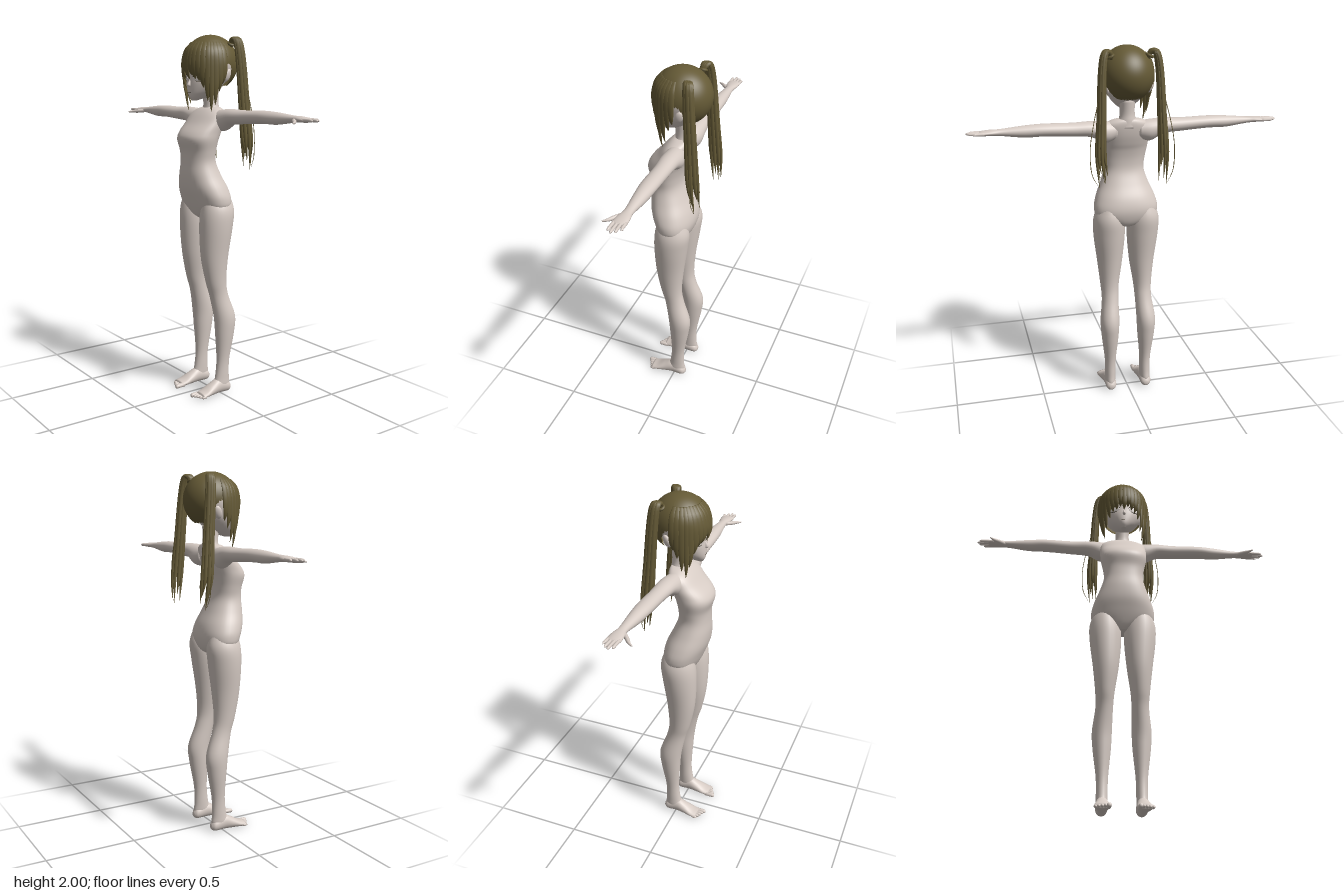
import * as THREE from 'three';

const skin = new THREE.MeshStandardMaterial({ color: 0xd6cbc4 });
skin.name = 'skin';
const hair = new THREE.MeshStandardMaterial({ color: 0x655a36, side: THREE.DoubleSide });
hair.name = 'hair';
const dark = new THREE.MeshStandardMaterial({ color: 0x3a3324 });
dark.name = 'lash';
const pale = new THREE.MeshStandardMaterial({ color: 0xe2dad5 });
pale.name = 'eye';

const X = new THREE.Vector3(1, 0, 0), Y = new THREE.Vector3(0, 1, 0), Z = new THREE.Vector3(0, 0, 1);

// Smooth loft through rows [x, y, z, radius along u, radius along v].
// Without v, rings stand square to the path.
function loft(rows, u, v, { seg = 24, sub = 5, power = 2 } = {}) {
  const path = new THREE.CatmullRomCurve3(rows.map(r => new THREE.Vector3(r[0], r[1], r[2])), false, 'catmullrom');
  const size = new THREE.CatmullRomCurve3(rows.map(r => new THREE.Vector3(r[3], r[4], 0)), false, 'catmullrom');
  const n = (rows.length - 1) * sub, pos = [], idx = [];
  const bend = w => Math.sign(w) * Math.pow(Math.abs(w), 2 / power);
  for (let i = 0; i <= n; i++) {
    const c = path.getPoint(i / n), s = size.getPoint(i / n);
    const side = v || path.getTangent(i / n).cross(u).normalize();
    for (let j = 0; j < seg; j++) {
      const a = j / seg * Math.PI * 2;
      const p = c.clone().addScaledVector(u, Math.max(s.x, 0.0005) * bend(Math.cos(a)))
        .addScaledVector(side, Math.max(s.y, 0.0005) * bend(Math.sin(a)));
      pos.push(p.x, p.y, p.z);
      if (i < n) {
        const k = i * seg + j, l = i * seg + (j + 1) % seg;
        idx.push(k, l, k + seg, l, l + seg, k + seg);
      }
    }
  }
  const first = path.getPoint(0), last = path.getPoint(1), e = pos.length / 3;
  pos.push(first.x, first.y, first.z, last.x, last.y, last.z);
  for (let j = 0; j < seg; j++) {
    const l = (j + 1) % seg;
    idx.push(e, l, j, e + 1, n * seg + j, n * seg + l);
  }
  // Turn the faces outward by the sign of the enclosed volume
  let volume = 0;
  const at = k => new THREE.Vector3().fromArray(pos, k * 3).sub(first);
  for (let k = 0; k < idx.length; k += 3) volume += at(idx[k]).dot(at(idx[k + 1]).cross(at(idx[k + 2])));
  if (volume < 0) idx.reverse();
  const g = new THREE.BufferGeometry();
  g.setAttribute('position', new THREE.Float32BufferAttribute(pos, 3));
  g.setIndex(idx);
  g.computeVertexNormals();
  return g;
}

// Rows [y, half width, front z, back z] to loft rows
const upright = rows => rows.map(([y, w, f, b]) => [0, y, (f + b) / 2, w, (f - b) / 2]);
const mirror = (rows, s) => rows.map(([x, ...rest]) => [x * s, ...rest]);

export function createModel() {
  const model = new THREE.Group();
  model.name = 'figure';
  const add = (name, geometry, material) => {
    const m = new THREE.Mesh(geometry, material);
    m.name = name;
    model.add(m);
    return m;
  };

  // Plain mannequin torso and neck
  add('torso', loft(upright([
    [1.01, .03, .07, -.03], [1.03, .09, .09, -.06], [1.07, .165, .11, -.078], [1.12, .178, .13, -.084],
    [1.18, .163, .15, -.07], [1.25, .133, .158, -.037], [1.32, .112, .155, -.01], [1.38, .117, .157, -.008],
    [1.44, .13, .172, -.02], [1.48, .133, .158, -.035], [1.53, .135, .112, -.05], [1.58, .128, .07, -.058],
    [1.61, .08, .035, -.055], [1.62, .02, 0, -.04],
  ]), X, Z, { seg: 40, power: 2.25 }), skin);
  add('neck', loft(upright([[1.57, .075, .04, -.06], [1.61, .048, .03, -.058], [1.65, .04, .03, -.055],
    [1.72, .042, .04, -.06]]), X, Z), skin);

  // Head with small features
  add('head', loft(upright([
    [1.652, .012, .112, .08], [1.672, .04, .124, .01], [1.70, .07, .128, -.04], [1.74, .097, .128, -.08],
    [1.78, .11, .125, -.11], [1.85, .121, .125, -.13], [1.93, .1, .09, -.11], [1.975, .03, .02, -.04],
  ]), X, Z, { seg: 36 }), skin);
  add('nose', loft([[0, 1.765, .122, .004, .004], [0, 1.735, .13, .009, .013], [0, 1.725, .125, .004, .004]],
    X, Z, { seg: 10 }), skin);
  add('mouth', loft([[-.015, 1.695, .125, .001, .002], [0, 1.693, .128, .0015, .002], [.015, 1.695, .125, .001, .002]],
    Y, Z, { seg: 6 }), dark);

  for (const s of [1, -1]) {
    const side = s > 0 ? 'left' : 'right';
    // Bands that follow the curve of the face: rows [x, y, half height]
    const faceBand = (name, rows, depth, mat) => add(side + name, loft(rows.map(([x, y, h]) =>
      [x * s, y, .0075 + .1175 * Math.sqrt(1 - (x / .111) ** 2), h, depth]), Y, Z, { seg: 10 }), mat);
    faceBand('Eye', [[.028, 1.77, .003], [.04, 1.772, .017], [.065, 1.773, .018], [.084, 1.773, .003]], .003, pale);
    faceBand('UpperLash', [[.026, 1.776, .001], [.042, 1.789, .003], [.066, 1.791, .003], [.088, 1.778, .001]], .0045, dark);
    faceBand('LowerLash', [[.04, 1.756, .0008], [.06, 1.753, .0014], [.08, 1.76, .0008]], .004, dark);
    faceBand('Brow', [[.026, 1.812, .001], [.05, 1.82, .002], [.082, 1.814, .001]], .004, hair);

    const ear = add(side + 'Ear', new THREE.SphereGeometry(1, 16, 12), skin);
    ear.scale.set(.014, .036, .022);
    ear.position.set(.12 * s, 1.785, -.035);
    ear.rotation.set(-.25, .35 * s, -.2 * s);

    // Leg rows [y, inner x, outer x, front z, back z]
    const leg = [
      [1.14, .05, .15, .09, -.06], [1.06, .015, .183, .11, -.082], [.96, .008, .184, .116, -.072],
      [.8, .022, .164, .108, -.05], [.66, .043, .149, .082, -.04], [.57, .05, .145, .056, -.055],
      [.45, .053, .16, .033, -.095], [.35, .058, .155, .024, -.088], [.2, .072, .137, .016, -.062],
      [.1, .074, .135, .026, -.06], [.05, .076, .135, .04, -.064], [.015, .085, .125, .03, -.055],
    ].map(([y, i, o, f, b]) => [s * (i + o) / 2, y, (f + b) / 2, (o - i) / 2, (f - b) / 2]);
    add(side + 'Leg', loft(leg, X, Z, { seg: 28 }), skin);

    // Foot and toes
    add(side + 'Foot', loft(mirror([
      [.105, .028, -.07, .012, .012], [.105, .034, -.05, .03, .032], [.105, .045, .01, .033, .043],
      [.106, .034, .06, .038, .033], [.108, .022, .105, .043, .02], [.11, .017, .14, .04, .014],
    ], s), X, Y), skin);
    for (let i = 0; i < 5; i++) {
      const x = .078 + i * .0165, r = i ? .0085 : .012, end = .18 - i * .008;
      add(side + 'Toe', loft(mirror([[x, .015, .12, r, r], [x, .014, end - .01, r, r],
        [x, .012, end, r * .4, r * .4]], s), X, Y, { seg: 10, sub: 3 }), skin);
    }

    // Arm, flat hand, fingers and thumb
    add(side + 'Arm', loft(mirror([
      [.06, 1.552, -.005, .045, .045], [.125, 1.548, -.01, .058, .055], [.2, 1.568, -.012, .042, .05],
      [.3, 1.571, -.015, .036, .044], [.45, 1.577, -.016, .033, .043], [.55, 1.575, -.018, .031, .036],
      [.67, 1.577, -.02, .018, .024], [.725, 1.578, -.02, .015, .033], [.77, 1.576, -.019, .012, .036],
      [.785, 1.575, -.019, .006, .03],
    ], s), Y, Z), skin);
    [.815, .838, .848, .835].forEach((end, i) => {
      const z = -.046 + i * .0175;
      add(side + 'Finger', loft(mirror([[.755, 1.576, z, .009, .009], [.8, 1.577, z * 1.05, .008, .008],
        [end - .01, 1.576, z * 1.1, .007, .007], [end, 1.575, z * 1.1, .002, .002]], s), Y, Z, { seg: 10, sub: 3 }), skin);
    });
    add(side + 'Thumb', loft(mirror([[.69, 1.573, -.01, .011, .012], [.72, 1.569, .02, .011, .011],
      [.75, 1.566, .045, .008, .008], [.768, 1.564, .068, .003, .003]], s), Y, null, { seg: 10 }), skin);

    // Twin tail: a bundle of strands arching off the head, with one thin stray loop
    for (let i = 0; i < 8; i++) {
      const a = i / 8 * Math.PI * 2, dx = Math.cos(a), dz = Math.sin(a), end = 1.28 + (i * 3 % 8) * .016;
      add(side + 'TailStrand', loft(mirror([
        [.09, 1.93, -.07, .01, .01], [.112 + dx * .005, 1.972, -.08 + dz * .01, .014, .012],
        [.138 + dx * .009, 1.962, -.09 + dz * .014, .015, .012], [.153 + dx * .012, 1.86, -.1 + dz * .018, .014, .011],
        [.162 + dx * .015, 1.65, -.115 + dz * .022, .013, .011], [.17 + dx * .022, 1.45, -.13 + dz * .027, .011, .009],
        [.16 + dx * .022, end, -.145 + dz * .022, .001, .001],
      ], s), Z, null, { seg: 8, sub: 4 }), hair);
    }
    add(side + 'StrayStrand', loft(mirror([
      [.15, 1.9, -.1, .002, .002], [.175, 1.75, -.115, .002, .002], [.21, 1.6, -.13, .002, .002],
      [.228, 1.48, -.135, .002, .002], [.222, 1.36, -.14, .002, .002], [.19, 1.29, -.145, .0005, .0005],
    ], s), Z, null, { seg: 6 }), hair);
    const tie = add(side + 'HairTie', new THREE.TorusGeometry(.016, .008, 8, 16), hair);
    tie.position.set(.103 * s, 1.95, -.075);
    tie.rotation.set(Math.PI / 2, -.5 * s, 0);
  }

  // Hair cap: a sphere pulled up to a hemline that is high in front and low behind
  const cap = new THREE.SphereGeometry(1, 64, 32), p = cap.attributes.position;
  for (let i = 0; i < p.count; i++) {
    const theta = Math.acos(THREE.MathUtils.clamp(p.getY(i), -1, 1));
    const phi = Math.atan2(p.getX(i), p.getZ(i));
    const back = THREE.MathUtils.smoothstep(Math.abs(phi), 1.7, 2.3);
    const t = theta / Math.PI * THREE.MathUtils.lerp(1.62, 2.55, back);
    p.setXYZ(i, .142 * Math.sin(t) * Math.sin(phi), 1.85 + .15 * Math.cos(t), -.01 + .153 * Math.sin(t) * Math.cos(phi));
  }
  cap.computeVertexNormals();
  add('hairCap', cap, hair);

  // Fringe and side locks: [angle from the front, tip height, width]
  const locks = [[0, 1.765, .02], [.17, 1.785, .02], [.34, 1.765, .021], [.52, 1.755, .021], [.7, 1.72, .022],
    [.88, 1.65, .021], [1.02, 1.595, .018], [1.18, 1.63, .02], [1.35, 1.70, .021], [1.5, 1.74, .02]];
  for (const s of [1, -1]) {
    for (const [angle, tip, w] of locks) {
      if (s < 0 && angle === 0) continue;
      const sx = Math.sin(angle) * s, cz = Math.cos(angle);
      const row = (y, r, width, depth) => [.142 * r * sx, y, -.01 + .153 * r * cz, width, depth];
      const drop = 1.86 - tip;
      add('fringeLock', loft([
        row(1.96, .69, w * .5, .004), row(1.92, .9, w * .9, .007), row(1.86, 1, w, .008),
        row(1.86 - drop * .5, 1, w * .85, .007), row(1.86 - drop * .8, .95, w * .5, .005), row(tip, .88, .001, .001),
      ], new THREE.Vector3(cz, 0, -sx), new THREE.Vector3(sx, 0, cz), { seg: 10, sub: 4 }), hair);
    }
  }
  return model;
}
